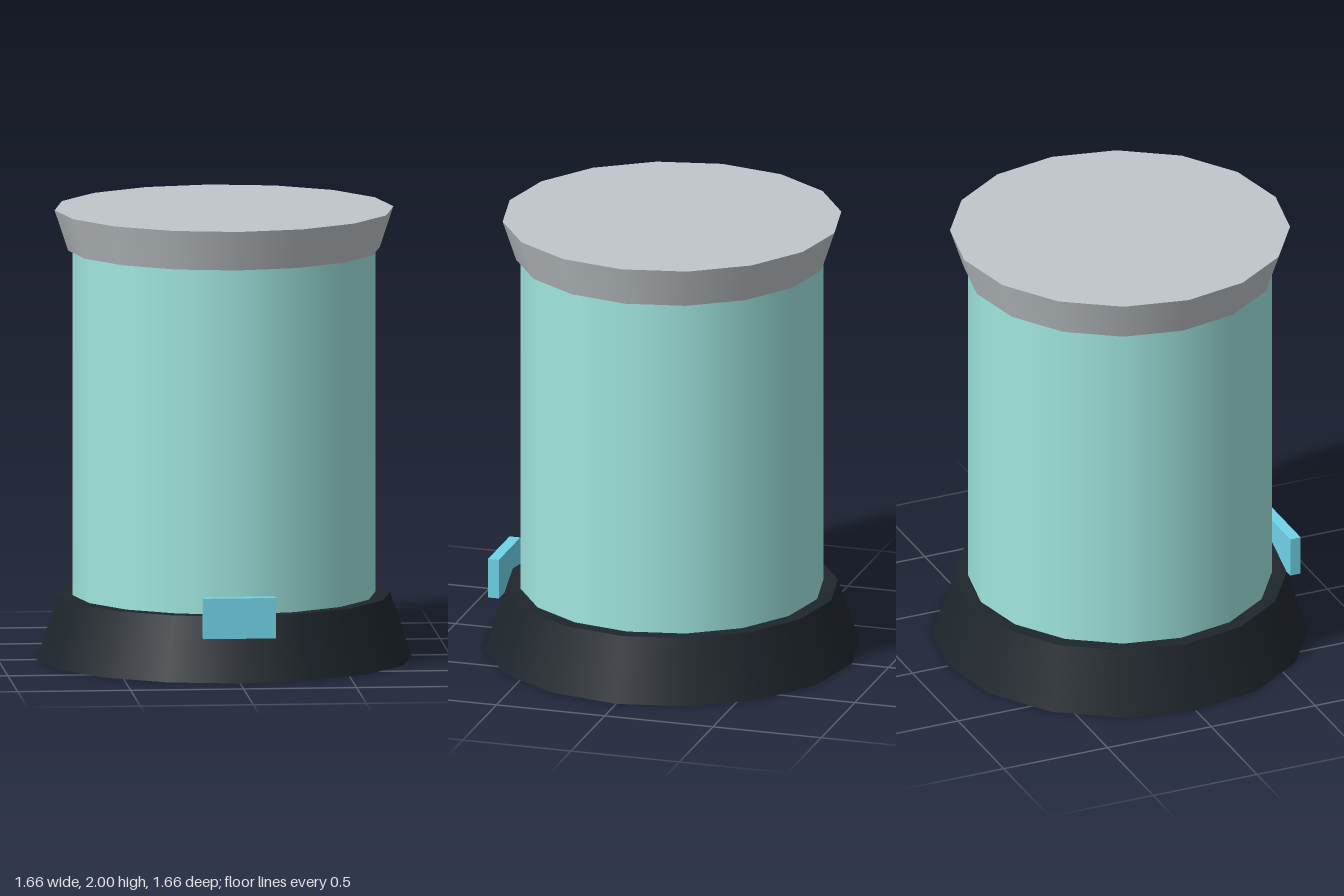
import * as THREE from 'three';

const SIDES = 16;

function addPart(group, name, geometry, color, y, z = 0) {
  const mesh = new THREE.Mesh(geometry, new THREE.MeshStandardMaterial({ color }));
  mesh.name = name;
  mesh.position.set(0, y, z);
  group.add(mesh);
}

// Smooth-sided, capped round section standing between two heights
function addRound(group, name, color, bottomRadius, topRadius, y0, y1) {
  const geometry = new THREE.CylinderGeometry(topRadius, bottomRadius, y1 - y0, SIDES);
  addPart(group, name, geometry, color, (y0 + y1) / 2);
}

export function createModel() {
  const model = new THREE.Group();
  model.name = 'canister';

  // Dark base narrowing upward, straight body, lid flaring upward
  addRound(model, 'base', 0x1e252c, 0.83, 0.735, 0, 0.285);
  addRound(model, 'body', 0xa0e6e0, 0.67, 0.67, 0.285, 1.82);
  addRound(model, 'lid', 0xc0c6c9, 0.69, 0.75, 1.82, 2);

  // Small plate on the front of the base
  addPart(model, 'frontPlate', new THREE.BoxGeometry(0.32, 0.18, 0.05), 0x70d4e8, 0.285, 0.775);

  return model;
}
